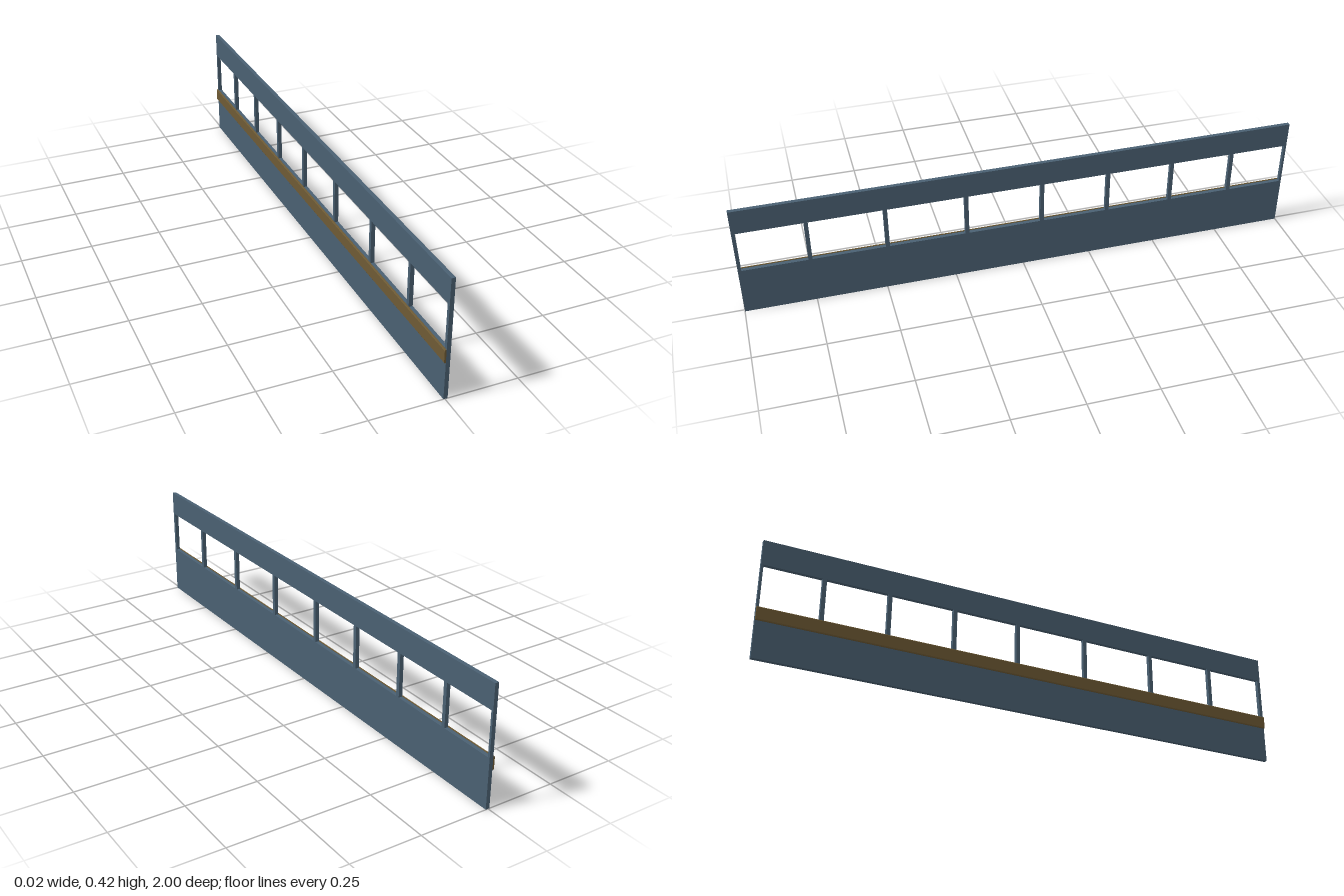
import * as THREE from 'three';

const panelMat = new THREE.MeshStandardMaterial({ color: 0x4a6072 });
const railMat = new THREE.MeshStandardMaterial({ color: 0x6e5a34 });

// Box given by its x, y and z limits
function block(name, [x0, x1], [y0, y1], [z0, z1]) {
  const geo = new THREE.BoxGeometry(x1 - x0, y1 - y0, z1 - z0);
  geo.translate((x0 + x1) / 2, (y0 + y1) / 2, (z0 + z1) / 2);
  const mesh = new THREE.Mesh(geo, panelMat);
  mesh.name = name;
  return mesh;
}

export function createModel() {
  const group = new THREE.Group();
  group.name = 'windowedSidePanel';
  const thick = [-0.005, 0.009];
  const sill = 0.177, head = 0.333, top = 0.423;

  // Solid bands below and above the windows
  group.add(block('lowerPanel', thick, [0, sill], [-1, 1]));
  group.add(block('upperPanel', thick, [head, top], [-1, 1]));

  // Unevenly spaced window posts
  const posts = new THREE.Group();
  posts.name = 'windowPosts';
  for (const z of [0.755, 0.487, 0.204, -0.069, -0.313, -0.554, -0.785]) {
    posts.add(block('windowPost', thick, [sill, head], [z - 0.007, z + 0.007]));
  }
  posts.add(block('frontEndPost', thick, [sill, head], [0.988, 1]));
  posts.add(block('rearEndPost', thick, [sill, head], [-1, -0.992]));
  group.add(posts);

  // Rail with bevelled outer edges along one side, just under the sill
  const profile = new THREE.Shape([
    [-0.005, 0.132], [-0.005, 0.179], [-0.009, 0.179],
    [-0.011, 0.176], [-0.011, 0.135], [-0.009, 0.132],
  ].map(([x, y]) => new THREE.Vector2(x, y)));
  const railGeo = new THREE.ExtrudeGeometry(profile, { depth: 2, bevelEnabled: false });
  railGeo.translate(0, 0, -1);
  const rail = new THREE.Mesh(railGeo, railMat);
  rail.name = 'sideRail';
  group.add(rail);

  return group;
}
